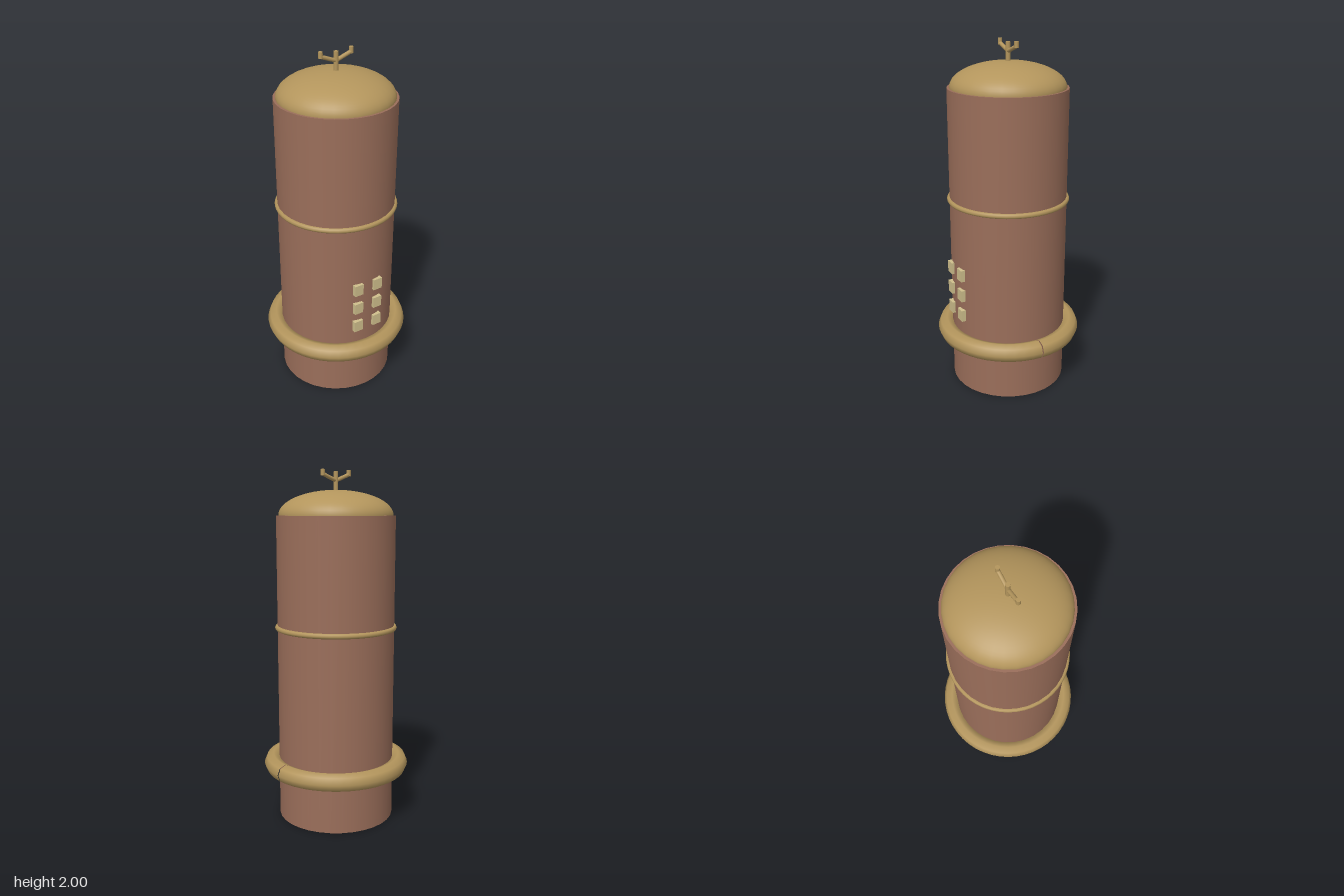
import * as THREE from 'three';

const mat = (name, color) => {
  const m = new THREE.MeshStandardMaterial({ color });
  m.name = name;
  return m;
};

export function createModel() {
  const root = new THREE.Group();
  root.name = 'tower';
  const clay = mat('clay brown', 0x9a6e5a);
  const brass = mat('brass', 0xb3955c);
  const pale = mat('pale yellow', 0xcfbf8c);

  const add = (name, geometry, material, x = 0, y = 0, z = 0) => {
    const mesh = new THREE.Mesh(geometry, material);
    mesh.name = name;
    mesh.position.set(x, y, z);
    root.add(mesh);
    return mesh;
  };

  // Main body
  add('body', new THREE.CylinderGeometry(0.335, 0.335, 1.75, 32), clay, 0, 0.875, 0);

  // Flattened dome roof
  const dome = new THREE.SphereGeometry(0.322, 32, 16, 0, Math.PI * 2, 0, Math.PI / 2);
  dome.scale(1, 0.14 / 0.322, 1);
  add('dome', dome, brass, 0, 1.75, 0);

  // Thick lower ring, with a hairline split on its left side, and thin upper band
  const gap = 0.016;
  const ring = new THREE.TorusGeometry(0.37, 0.053, 8, 48, Math.PI * 2 - gap);
  ring.rotateZ(gap / 2);
  ring.rotateX(Math.PI / 2);
  add('lowerRing', ring, brass, 0, 0.315, 0);
  const band = new THREE.TorusGeometry(0.335, 0.015, 8, 48);
  band.rotateX(Math.PI / 2);
  add('upperBand', band, brass, 0, 1.12, 0);

  // Two columns of windows on the front
  for (const x of [-0.0625, 0.0625]) {
    for (const y of [0.475, 0.6, 0.725]) {
      add('window', new THREE.BoxGeometry(0.055, 0.068, 0.025), pale, x, y, 0.335);
    }
  }

  // Three-pronged antenna
  const rod = (name, a, b, radius) => {
    const from = new THREE.Vector3(...a), to = new THREE.Vector3(...b);
    const dir = to.clone().sub(from);
    const mesh = add(name, new THREE.CylinderGeometry(radius, radius, dir.length(), 12), brass);
    mesh.position.copy(from).add(to).multiplyScalar(0.5);
    mesh.quaternion.setFromUnitVectors(new THREE.Vector3(0, 1, 0), dir.normalize());
  };
  rod('antennaPole', [0, 1.86, 0], [0, 1.99, 0], 0.013);
  for (const s of [-1, 1]) {
    rod('antennaArm', [0, 1.94, 0], [s * 0.095, 1.975, 0], 0.011);
    rod('antennaTip', [s * 0.093, 1.966, 0], [s * 0.093, 2, 0], 0.012);
  }
  return root;
}
